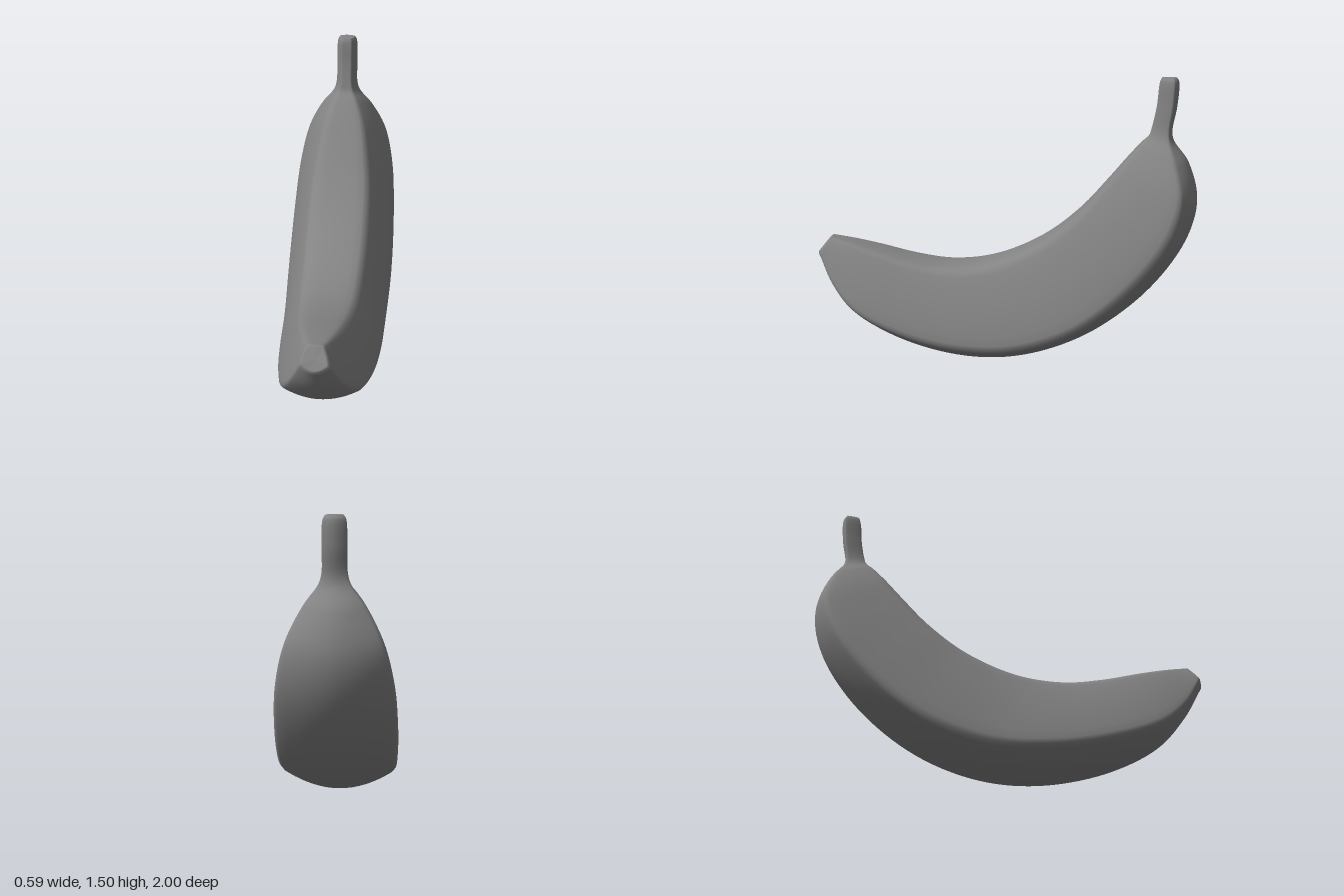
import * as THREE from 'three';

// Stations from blossom tip to stem end:
// [top z, top y, top half-width, edge z, edge y, edge half-width, keel z, keel y]
const STATIONS = [
  [0.93, 0.615, 0.036, 0.985, 0.54, 0.068, 1.0, 0.51],
  [0.82, 0.595, 0.07, 0.895, 0.385, 0.132, 0.91, 0.355],
  [0.68, 0.565, 0.1, 0.76, 0.258, 0.192, 0.77, 0.2],
  [0.48, 0.52, 0.125, 0.5, 0.16, 0.242, 0.5, 0.065],
  [0.28, 0.5, 0.14, 0.2, 0.11, 0.272, 0.15, 0.002],
  [0.05, 0.535, 0.15, -0.1, 0.125, 0.285, -0.15, 0.035],
  [-0.2, 0.65, 0.155, -0.42, 0.25, 0.299, -0.47, 0.17],
  [-0.4, 0.81, 0.15, -0.7, 0.49, 0.295, -0.76, 0.405],
  [-0.55, 0.98, 0.125, -0.87, 0.73, 0.274, -0.95, 0.68],
  [-0.64, 1.09, 0.1, -0.925, 0.93, 0.226, -1.0, 0.89],
  [-0.71, 1.17, 0.065, -0.89, 1.09, 0.147, -0.95, 1.08],
  [-0.75, 1.21, 0.04, -0.855, 1.19, 0.075, -0.875, 1.185],
  [-0.763, 1.25, 0.03, -0.85, 1.24, 0.06, -0.865, 1.235],
  [-0.785, 1.36, 0.028, -0.865, 1.36, 0.058, -0.885, 1.36],
  [-0.797, 1.48, 0.027, -0.87, 1.48, 0.053, -0.89, 1.48],
  [-0.805, 1.5, 0.022, -0.865, 1.5, 0.042, -0.88, 1.5],
];
const STEPS = 120;

const rail = (pick) => new THREE.CatmullRomCurve3(STATIONS.map(pick));
const topRail = rail((s) => new THREE.Vector3(s[2], s[1], s[0]));
const edgeRail = rail((s) => new THREE.Vector3(s[5], s[4], s[3]));
const keelRail = rail((s) => new THREE.Vector3(0, s[7], s[6]));

// Closed cross-section: slightly domed top, bulging sides, arched underside, softened corners
function section(t) {
  const top = topRail.getPoint(t);
  const edge = edgeRail.getPoint(t);
  const keel = keelRail.getPoint(t);
  const crown = top.clone().setX(0);
  const crownCtrl = top.clone().setX(top.x * 0.6);
  // dome the body, easing to flat at the stem
  top.y -= 0.09 * top.x * (1 - THREE.MathUtils.smoothstep(t, 0.6, 0.8));

  const sideCtrl = top.clone().lerp(edge, 0.5);
  sideCtrl.x += edge.x * 0.12;
  const underCtrl = keel.clone().setX(edge.x * 0.5);
  const over = new THREE.QuadraticBezierCurve3(crown, crownCtrl, top);
  const side = new THREE.QuadraticBezierCurve3(top, sideCtrl, edge);
  const under = new THREE.QuadraticBezierCurve3(edge, underCtrl, keel);

  const soften = (a, c, b) => a.clone().lerp(b, 0.5).lerp(c, 0.5);
  const overPts = [0, 0.3, 0.55, 0.8].map((u) => over.getPoint(u));
  const sidePts = [0.08, 0.25, 0.4, 0.55, 0.7, 0.82, 0.93].map((u) => side.getPoint(u));
  const underPts = [0.08, 0.22, 0.36, 0.5, 0.64, 0.78, 0.9].map((u) => under.getPoint(u));
  const half = [
    ...overPts, soften(overPts[3], top, sidePts[0]),
    ...sidePts, soften(sidePts[6], edge, underPts[0]),
    ...underPts, keel,
  ];
  const mirrored = half.slice(1, -1).reverse().map((p) => new THREE.Vector3(-p.x, p.y, p.z));
  return [...half, ...mirrored];
}

// Ring shrunk towards its centre, used to close an end
function inset(ring, amount) {
  const centre = new THREE.Vector3();
  ring.forEach((p) => centre.addScaledVector(p, 1 / ring.length));
  return ring.map((p) => p.clone().lerp(centre, amount));
}

// Smooth skin stretched over successive rings
function loft(rings) {
  const n = rings[0].length;
  const index = [];
  for (let i = 0; i < rings.length - 1; i++) {
    for (let j = 0; j < n; j++) {
      const k = (j + 1) % n;
      const a = i * n + j, b = i * n + k, c = a + n, d = b + n;
      index.push(a, b, c, b, d, c);
    }
  }
  const geometry = new THREE.BufferGeometry().setFromPoints(rings.flat());
  geometry.setIndex(index);
  geometry.computeVertexNormals();
  return geometry;
}

export function createModel() {
  const group = new THREE.Group();
  group.name = 'banana';

  const rings = [];
  for (let i = 0; i <= STEPS; i++) rings.push(section(i / STEPS));
  const tip = rings[0];
  const stem = rings[STEPS];

  // Flat ends with softly shaded rims
  const closed = [
    inset(tip, 1), inset(tip, 0.15), ...rings, inset(stem, 0.15), inset(stem, 1),
  ];
  const peel = new THREE.Mesh(loft(closed), new THREE.MeshStandardMaterial({ color: 0x848484 }));
  peel.name = 'peelWithStem';
  group.add(peel);
  return group;
}
